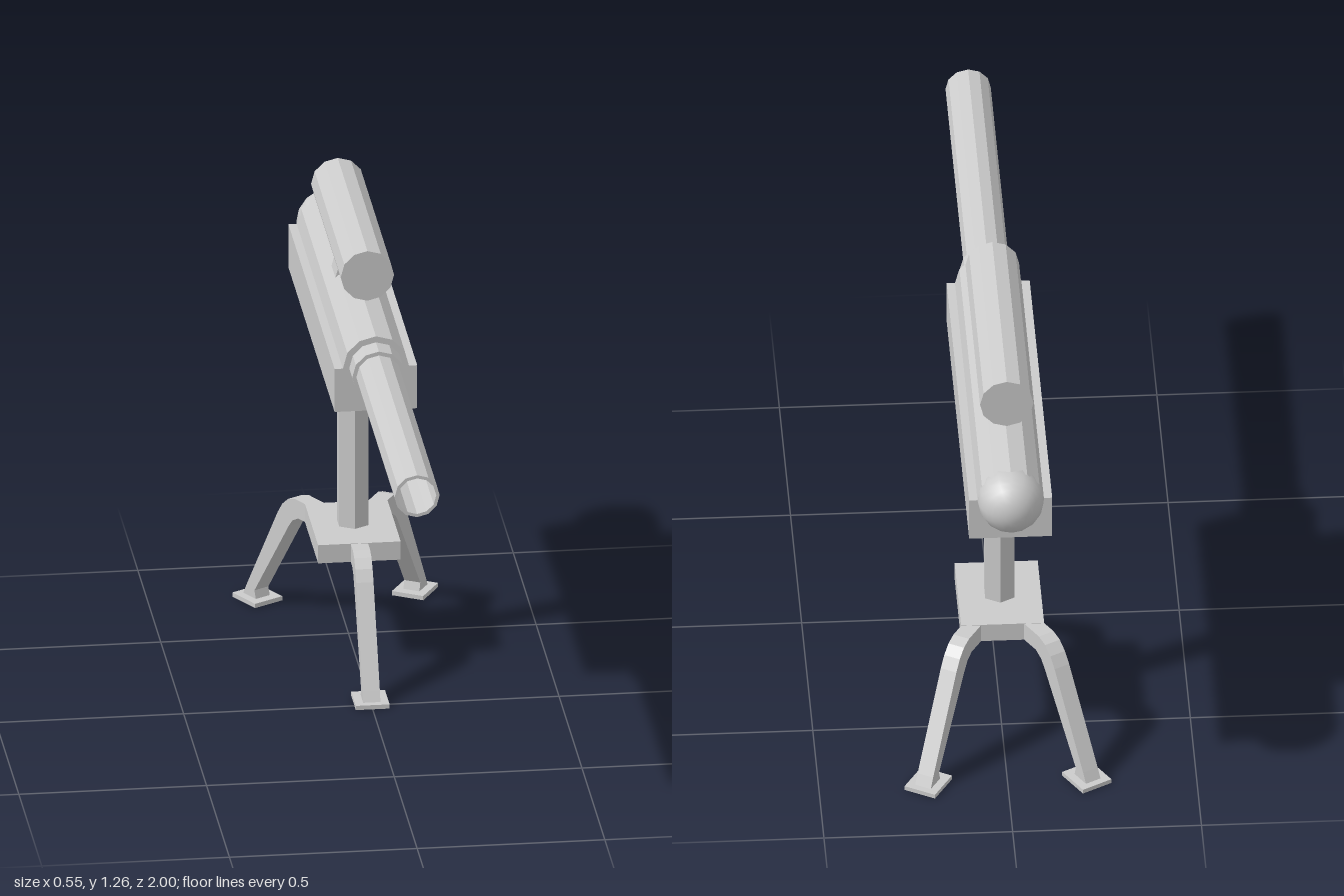
import * as THREE from 'three';

const AXIS_Y = 1.008; // height of the barrel axis
const POST_Z = -0.405; // depth of the stand's centre

const flat = new THREE.MeshStandardMaterial({ color: 0xcccccc, flatShading: true });
const smooth = new THREE.MeshStandardMaterial({ color: 0xcccccc });

function add(parent, name, geometry, x = 0, y = 0, z = 0, material = flat) {
  const mesh = new THREE.Mesh(geometry, material);
  mesh.name = name;
  mesh.position.set(x, y, z);
  parent.add(mesh);
  return mesh;
}

// Shape from [x, y] pairs
const shapeOf = (pts) => new THREE.Shape(pts.map(([x, y]) => new THREE.Vector2(x, y)));

// Turned part along z from [radius, z] pairs
const turned = (pts) =>
  new THREE.LatheGeometry(pts.map(([r, z]) => new THREE.Vector2(r, z)), 12).rotateX(Math.PI / 2);

// Leg with a bent profile, reaching outward along +z; shift moves the bend outward
function createLeg(shift) {
  const leg = new THREE.Group();
  const bend = [
    [0.36, 0.008], [0.367, 0.035], [0.217, 0.268], [0.2, 0.29], [0.175, 0.304],
  ];
  const outer = [
    [0.19, 0.355], [0.22, 0.345], [0.245, 0.323], [0.265, 0.293], [0.402, 0.04], [0.418, 0.008],
  ];
  const profile = [
    [0.08, 0.355], [0.08, 0.304],
    ...[...bend].reverse().map(([r, y]) => [r + shift, y]),
    ...[...outer].reverse().map(([r, y]) => [r + shift, y]),
  ];
  const width = 0.046;
  const strut = new THREE.ExtrudeGeometry(shapeOf(profile), { depth: width, bevelEnabled: false });
  strut.translate(0, 0, -width / 2).rotateY(-Math.PI / 2);
  add(leg, 'legStrut', strut);
  add(leg, 'foot', new THREE.BoxGeometry(0.09, 0.012, 0.1), 0, 0.006, 0.385 + shift);
  return leg;
}

export function createModel() {
  const model = new THREE.Group();
  model.name = 'mountedLauncher';

  // Hollow barrel, collar and round upper housing
  add(model, 'barrel', turned([
    [0.06, 0.05], [0.06, 1], [0.051, 1], [0.051, -0.88],
  ]), 0, AXIS_Y, 0);
  add(model, 'barrelCollar', turned([[0.071, 0.08], [0.071, 0.165], [0.058, 0.165]]), 0, AXIS_Y, 0);
  add(model, 'housing', turned([[0.088, -0.91], [0.088, 0.1], [0.058, 0.1]]), 0, AXIS_Y, 0);
  const dome = new THREE.SphereGeometry(0.088, 16, 14).rotateX(Math.PI / 2);
  add(model, 'rearDome', dome, 0, AXIS_Y, -0.912, smooth);

  // Lower receiver: trough open along the bore
  const receiver = shapeOf([
    [-0.11, 0.885], [0.11, 0.885], [0.11, AXIS_Y], [0.085, AXIS_Y],
    [0.074, 0.965], [0.043, 0.934], [0, 0.922],
    [-0.043, 0.934], [-0.074, 0.965], [-0.085, AXIS_Y], [-0.11, AXIS_Y],
  ]);
  add(model, 'receiver',
    new THREE.ExtrudeGeometry(receiver, { depth: 1.01, bevelEnabled: false }), 0, 0, -0.91);

  // Sight tube on its tapered bracket
  add(model, 'sightTube', new THREE.CylinderGeometry(0.071, 0.071, 0.65, 12).rotateX(Math.PI / 2),
    0, 1.193, -0.41);
  const bracket = shapeOf([[-0.052, 1.075], [0.052, 1.075], [0.034, 1.14], [-0.034, 1.14]]);
  add(model, 'sightBracket',
    new THREE.ExtrudeGeometry(bracket, { depth: 0.085, bevelEnabled: false }), 0, 0, -0.447);

  // Stand: hexagonal post, collar, plate and three legs
  const stand = new THREE.Group();
  stand.name = 'stand';
  stand.position.z = POST_Z;
  model.add(stand);
  add(stand, 'post', new THREE.CylinderGeometry(0.045, 0.045, 0.56, 6), 0, 0.61, 0);
  add(stand, 'postCollar', new THREE.CylinderGeometry(0.05, 0.05, 0.036, 6), 0, 0.868, 0);
  add(stand, 'basePlate', new THREE.BoxGeometry(0.22, 0.052, 0.29), 0, 0.33, 0);
  const legs = [
    ['frontLeg', 0, 0],
    ['rearLegLeft', Math.PI * 5 / 6, 0.035],
    ['rearLegRight', -Math.PI * 5 / 6, 0.035],
  ];
  for (const [name, angle, shift] of legs) {
    const leg = createLeg(shift);
    leg.name = name;
    leg.rotation.y = angle;
    stand.add(leg);
  }

  return model;
}
